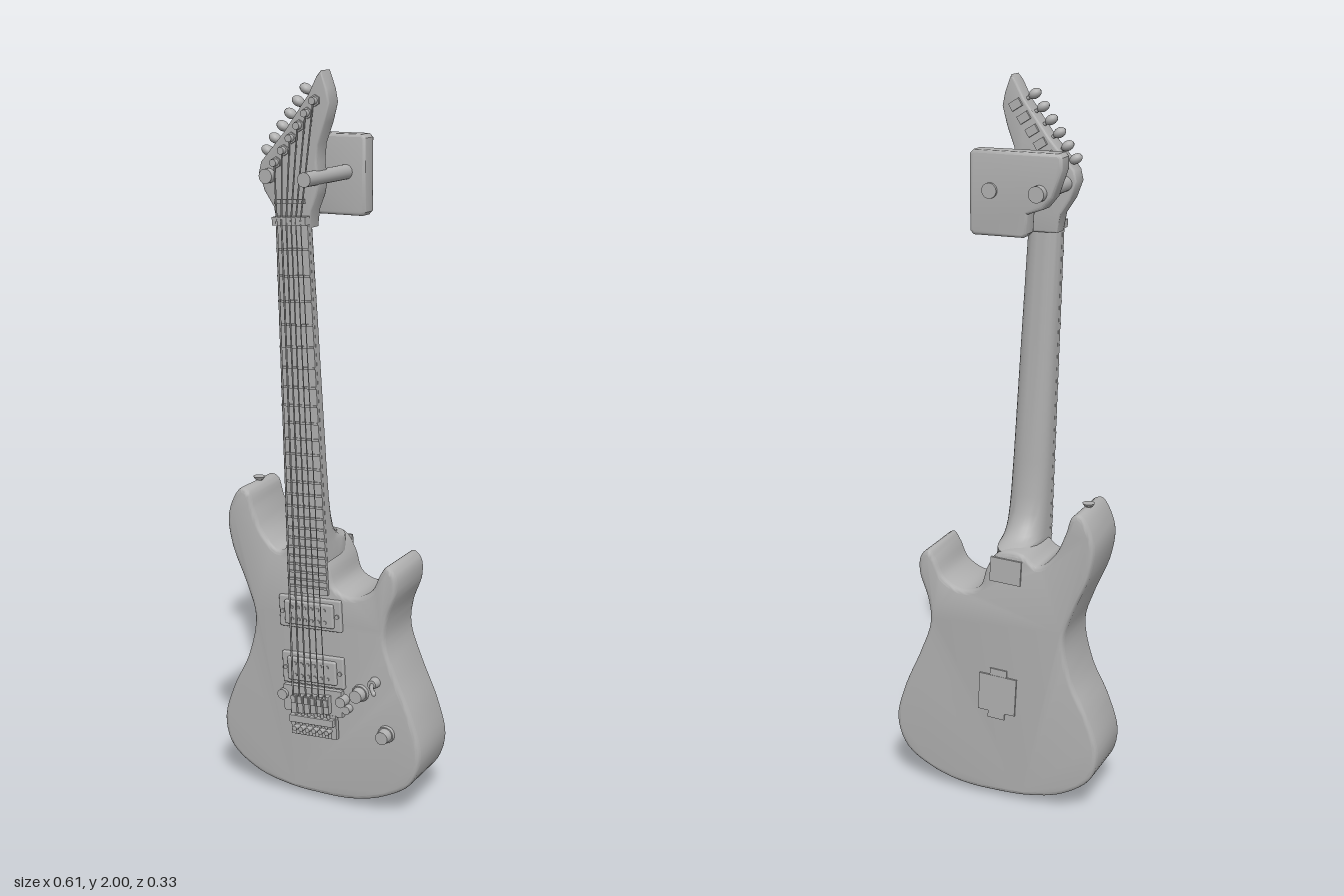
import * as THREE from 'three';
import { toCreasedNormals } from 'three/addons/utils/BufferGeometryUtils.js';
import { RoundedBoxGeometry } from 'three/addons/geometries/RoundedBoxGeometry.js';

const grey = new THREE.MeshStandardMaterial({ color: 0xb0b0b0 });
grey.name = 'plain grey';
const V = (x, y, z) => new THREE.Vector3(x, y, z);

function add(parent, name, geo, x = 0, y = 0, z = 0) {
  const m = new THREE.Mesh(geo, grey);
  m.name = name;
  m.position.set(x, y, z);
  parent.add(m);
  return m;
}
const box = (p, name, w, h, d, x, y, z) => add(p, name, new THREE.BoxGeometry(w, h, d), x, y, z);

// Cylinder running from point a to point b
function rod(p, name, a, b, r, r2 = r, sides = 16) {
  const m = add(p, name, new THREE.CylinderGeometry(r2, r, a.distanceTo(b), sides));
  m.position.copy(a).lerp(b, 0.5);
  m.quaternion.setFromUnitVectors(V(0, 1, 0), b.clone().sub(a).normalize());
  return m;
}

// Flat plate cut from an outline, with softened edges, between two depths
function plate(p, name, pts, z0, z1, bevel, smooth) {
  let outline = pts.map(([x, y]) => new THREE.Vector2(x, y));
  if (smooth) {
    const curve = new THREE.CatmullRomCurve3(pts.map(([x, y]) => V(x, y, 0)), true, 'centripetal');
    outline = curve.getPoints(160).slice(0, -1).map(v => new THREE.Vector2(v.x, v.y));
  }
  const geo = new THREE.ExtrudeGeometry(new THREE.Shape(outline), {
    depth: z1 - z0 - 2 * bevel, bevelThickness: bevel, bevelSize: bevel,
    bevelOffset: -bevel, bevelSegments: 3, steps: 1,
  });
  return add(p, name, toCreasedNormals(geo, 0.7), 0, 0, z0 + bevel);
}

// Loft of D-shaped sections [y, half width, front z, back z]
function loft(p, name, rows, power) {
  const n = 17, pos = [], idx = [];
  for (const [y, hw, zf, zb] of rows) {
    for (let j = 0; j < n; j++) {
      const t = Math.PI * j / (n - 1);
      pos.push(hw * Math.cos(t), y, zf - (zf - zb) * Math.pow(Math.max(0, Math.sin(t)), power));
    }
  }
  for (let i = 0; i < rows.length - 1; i++) {
    for (let j = 0; j < n; j++) {
      const a = i * n + j, b = i * n + (j + 1) % n;
      idx.push(a, b, b + n, a, b + n, a + n);
    }
  }
  const top = (rows.length - 1) * n;
  for (let j = 1; j < n - 1; j++) {
    idx.push(0, j + 1, j, top, top + j, top + j + 1);
  }
  const geo = new THREE.BufferGeometry();
  geo.setAttribute('position', new THREE.Float32BufferAttribute(pos, 3));
  geo.setIndex(idx);
  return add(p, name, toCreasedNormals(geo, 0.7));
}

export function createModel() {
  const guitar = new THREE.Group();
  guitar.name = 'electricGuitar';

  // Body with two horns
  plate(guitar, 'body', [
    [0, 0.015], [0.1, 0.02], [0.19, 0.045], [0.275, 0.1], [0.305, 0.185], [0.28, 0.29], [0.232, 0.4],
    [0.197, 0.5], [0.203, 0.57], [0.228, 0.645], [0.224, 0.695], [0.2, 0.715], [0.18, 0.69],
    [0.155, 0.64], [0.095, 0.612], [0.045, 0.632], [0.024, 0.69], [-0.01, 0.738], [-0.08, 0.742],
    [-0.125, 0.713], [-0.175, 0.755], [-0.205, 0.82], [-0.222, 0.868], [-0.247, 0.875],
    [-0.285, 0.8], [-0.275, 0.71], [-0.23, 0.6], [-0.203, 0.51], [-0.227, 0.39], [-0.275, 0.29],
    [-0.305, 0.185], [-0.283, 0.105], [-0.2, 0.045], [-0.1, 0.02],
  ], -0.085, 0.1, 0.012, true);

  // Strap buttons
  for (const [x, y, s] of [[-0.24, 0.868, 1], [0, 0.018, -1]]) {
    rod(guitar, 'strapButtonStem', V(x, y - s * 0.01, 0), V(x, y + s * 0.012, 0), 0.008);
    rod(guitar, 'strapButtonHead', V(x, y + s * 0.01, 0), V(x, y + s * 0.018, 0), 0.012, 0.017);
  }

  // Back covers
  const backCover = box(guitar, 'backCover', 0.11, 0.11, 0.008, -0.01, 0.32, -0.086);
  backCover.rotation.z = 0.053;
  box(guitar, 'backCoverTab', 0.05, 0.15, 0.006, -0.01, 0.32, -0.086).rotation.z = 0.053;
  box(guitar, 'neckPlate', 0.09, 0.07, 0.008, -0.035, 0.69, -0.086).rotation.z = 0.053;

  // Control knobs
  for (const [x, y] of [[0.128, 0.345], [0.207, 0.24]]) {
    rod(guitar, 'knobSkirt', V(x, y, 0.095), V(x, y, 0.11), 0.025, 0.023, 24);
    rod(guitar, 'knob', V(x, y, 0.11), V(x, y, 0.135), 0.02, 0.018, 24);
  }

  // Selector switch
  rod(guitar, 'switchBase', V(0.172, 0.385, 0.095), V(0.172, 0.385, 0.125), 0.016, 0.013);
  const lever = new THREE.QuadraticBezierCurve3(V(0.172, 0.385, 0.12), V(0.178, 0.385, 0.143), V(0.196, 0.378, 0.16));
  add(guitar, 'switchLever', new THREE.TubeGeometry(lever, 8, 0.006, 8));
  add(guitar, 'switchTip', new THREE.SphereGeometry(0.007, 12, 8), 0.196, 0.378, 0.16);

  // Everything along the strings leans slightly; y = 0 here is the bridge
  const line = new THREE.Group();
  line.name = 'neckAndStrings';
  line.position.set(-0.01, 0.3, 0);
  line.rotation.z = 0.053;
  guitar.add(line);
  const scale = 1.32;
  const halfWidth = y => 0.064 - 0.0135 * y;
  const boardZ = y => 0.119 - 0.018 * y;

  // Neck flaring into the heel
  loft(line, 'neck', [
    [0.4, -0.08], [0.44, -0.08], [0.452, -0.03], [0.465, -0.008], [0.485, 0.01], [0.52, 0.024],
    [0.57, 0.032], [0.67, 0.037], [1.0, 0.04], [1.34, 0.045],
  ].map(([y, zb]) => [y, halfWidth(y) - 0.001, boardZ(y) - 0.012, zb]), 0.65);

  // Fingerboard, nut and frets
  loft(line, 'fingerboard', [0.31, 1.32].map(y => [y, halfWidth(y), boardZ(y), boardZ(y) - 0.014]), 0.15);
  box(line, 'nut', 0.098, 0.022, 0.026, 0, scale, 0.099);
  for (let n = 1; n <= 24; n++) {
    const y = scale * Math.pow(2, -n / 12);
    box(line, 'fret', 2 * halfWidth(y), 0.006, 0.005, 0, y, boardZ(y) + 0.001);
  }

  // Two pickups
  for (const y of [0.252, 0.088]) {
    add(line, 'pickupFrame', new RoundedBoxGeometry(0.19, 0.09, 0.016, 2, 0.004), 0, y, 0.102);
    add(line, 'pickupCover', new RoundedBoxGeometry(0.15, 0.068, 0.03, 2, 0.005), 0, y, 0.104);
    for (let i = 0; i < 6; i++) {
      const x = (i - 2.5) * 0.02;
      for (const dy of [-0.017, 0.017]) rod(line, 'polePiece', V(x, y + dy, 0.115), V(x, y + dy, 0.122), 0.005, 0.005, 10);
    }
    for (const s of [-1, 1]) rod(line, 'pickupScrew', V(s * 0.084, y, 0.105), V(s * 0.084, y, 0.114), 0.006);
  }

  // Bridge
  box(line, 'bridgePlate', 0.18, 0.075, 0.016, 0, 0.002, 0.112);
  box(line, 'tailPlate', 0.14, 0.07, 0.014, 0, -0.068, 0.114);
  box(line, 'tailBlock', 0.135, 0.02, 0.028, 0, -0.052, 0.122);
  for (const s of [-1, 1]) {
    rod(line, 'bridgePost', V(s * 0.09, 0.012, 0.095), V(s * 0.09, 0.012, 0.13), 0.015);
  }
  rod(line, 'tremoloSocket', V(0.102, -0.012, 0.1), V(0.102, -0.012, 0.122), 0.012);

  // Strings with saddles and fine tuners; tuners along the headstock edge
  for (let i = 0; i < 6; i++) {
    const u = i - 2.5, x = u * 0.02, nutX = u * 0.014;
    box(line, 'saddle', 0.016, 0.05, 0.024, x, -0.004 + u * 0.002, 0.126);
    box(line, 'saddleClamp', 0.013, 0.02, 0.012, x, 0.008, 0.136);
    rod(line, 'fineTuner', V(x, -0.078, 0.115), V(x, -0.078, 0.143), 0.008, 0.007, 12);
    rod(line, 'saddleScrew', V(x, -0.1, 0.122), V(x, -0.03, 0.126), 0.005, 0.005, 8);
    rod(line, 'string', V(x, 0, 0.14), V(nutX, scale, 0.111), 0.0028 - i * 0.0003, undefined, 6);

    const t = i / 5;
    const px = -0.128 + 0.114 * t, py = 1.765 + 0.16 * t;
    const start = line.localToWorld ? V(nutX, scale, 0.111).applyEuler(line.rotation).add(line.position) : null;
    rod(guitar, 'headString', start, V(px, py, 0.098), 0.0022, undefined, 6);
    rod(guitar, 'tunerPost', V(px, py, 0.028), V(px, py, 0.108), 0.0105, 0.0095, 14);
    rod(guitar, 'tunerNut', V(px, py, 0.083), V(px, py, 0.093), 0.015, 0.015, 6);
    box(guitar, 'tunerHousing', 0.032, 0.022, 0.014, px, py, 0.032).rotation.z = -0.55;
    const hx = px - 0.043, hy = py + 0.027;
    rod(guitar, 'tunerShaft', V(px, py, 0.055), V(hx, hy, 0.055), 0.005, 0.005, 8);
    const head = add(guitar, 'tunerHead', new THREE.SphereGeometry(1, 14, 10), hx, hy, 0.055);
    head.scale.set(0.018, 0.013, 0.017);
    head.rotation.z = -0.55;
  }
  box(line, 'stringRetainer', 0.085, 0.012, 0.012, 0, scale + 0.05, 0.1);

  // Pointed headstock
  plate(guitar, 'headstock', [
    [-0.128, 1.6], [-0.033, 1.6], [-0.028, 1.645], [-0.012, 1.685], [-0.005, 1.72], [-0.012, 1.77],
    [-0.008, 1.815], [0.012, 1.87], [0.025, 1.92], [0.018, 1.955], [0.001, 2.0], [-0.012, 1.985],
    [-0.035, 1.94], [-0.105, 1.845], [-0.175, 1.765], [-0.182, 1.735], [-0.165, 1.69], [-0.138, 1.65],
  ], 0.032, 0.087, 0.005, false);

  // Wall hanger: notched plate with two pegs
  plate(guitar, 'hangerPlate', [
    [-0.2, 1.83], [0.03, 1.83], [0.04, 1.82], [0.04, 1.625], [0.03, 1.615], [-0.105, 1.615],
    [-0.115, 1.625], [-0.118, 1.675], [-0.16, 1.69], [-0.185, 1.72], [-0.21, 1.79], [-0.21, 1.82],
  ], -0.145, -0.09, 0.008, false);
  rod(guitar, 'hangerPeg', V(-0.017, 1.73, -0.153), V(-0.017, 1.73, 0.145), 0.02, 0.019, 24);
  rod(guitar, 'hangerPeg', V(-0.15, 1.73, -0.168), V(-0.15, 1.73, 0.108), 0.021, 0.019, 24);

  return guitar;
}
